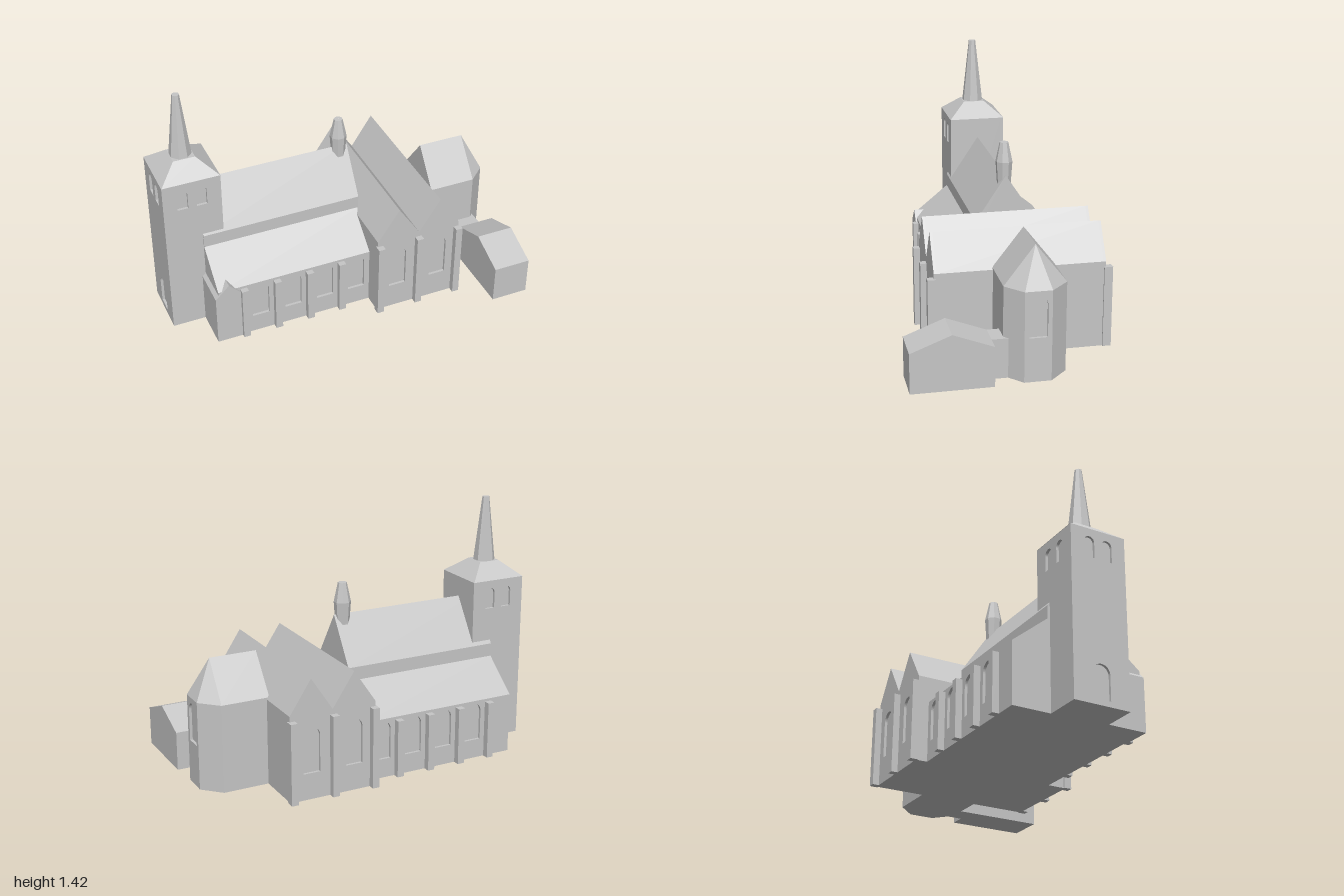
import * as THREE from 'three';

const R = 0.015; // depth of the window recesses

export function createModel() {
  const church = new THREE.Group();
  church.name = 'church';
  const stone = new THREE.MeshStandardMaterial({ color: 0xc6c6c6 });
  stone.name = 'stone grey';

  const add = (name, geometry, x = 0, y = 0, z = 0) => {
    const flat = geometry.index ? geometry.toNonIndexed() : geometry;
    flat.computeVertexNormals();
    const mesh = new THREE.Mesh(flat, stone);
    mesh.name = name;
    mesh.position.set(x, y, z);
    church.add(mesh);
    return mesh;
  };
  const shapeOf = (pts) => new THREE.Shape(pts.map(([x, y]) => new THREE.Vector2(x, y)));
  const box = (name, x0, x1, y0, y1, z0, z1) =>
    add(name, new THREE.BoxGeometry(x1 - x0, y1 - y0, z1 - z0), (x0 + x1) / 2, (y0 + y1) / 2, (z0 + z1) / 2);

  // Round-headed opening
  const arch = (c, w, y0, y1) => {
    const r = w / 2, p = new THREE.Path();
    p.moveTo(c - r, y0);
    p.lineTo(c + r, y0);
    p.lineTo(c + r, y1 - r);
    p.absarc(c, y1 - r, r, 0, Math.PI, false);
    p.closePath();
    return p;
  };
  const extrude = (pts, depth, holes) => {
    const s = shapeOf(pts);
    s.holes.push(...holes);
    return new THREE.ExtrudeGeometry(s, { depth, bevelEnabled: false, curveSegments: 10 });
  };
  // Profile in (x, y) extruded from z0 to z1
  const alongZ = (name, pts, z0, z1, holes = []) => add(name, extrude(pts, z1 - z0, holes), 0, 0, z0);
  // Profile in (-z, y) extruded from x0 to x1
  const alongX = (name, pts, x0, x1, holes = []) =>
    add(name, extrude(pts, x1 - x0, holes).rotateY(Math.PI / 2), x0, 0, 0);
  const rect = (a, b, y0, y1) => [[a, y0], [b, y0], [b, y1], [a, y1]];

  // Nave with lean-to aisles, one cross-section (mirrored about z = -0.1)
  const half = [[0.38 - R, 0], [0.38 - R, 0.345], [0.38, 0.345], [0.173, 0.515], [0.173, 0.59]];
  const section = [
    ...half.map(([u, y]) => [0.1 + u, y]), [0.1, 0.85],
    ...half.slice().reverse().map(([u, y]) => [0.1 - u, y]),
  ];
  alongX('nave', section, -0.79, 0.14);

  // Aisle walls with windows
  const aisleWindows = () => [-0.545, -0.35, -0.155, 0.038].map((x) => arch(x, 0.1, 0.11, 0.33));
  for (const [z0, z1] of [[0.28 - R, 0.28], [-0.48, -0.48 + R]]) {
    alongZ('aisleWall', rect(-0.79, 0.13, 0, 0.345), z0, z1, aisleWindows());
  }
  for (const x of [-0.643, -0.448, -0.253, -0.058]) {
    box('aisleButtress', x - 0.02, x + 0.02, 0, 0.33, 0.27, 0.312);
    box('aisleButtress', x - 0.02, x + 0.02, 0, 0.33, -0.518, -0.47);
  }

  // Gabled porch beside the tower
  alongZ('porch', [[-0.81, 0], [-0.66, 0], [-0.66, 0.315], [-0.73, 0.385], [-0.81, 0.305]], 0.06, 0.29);

  // Double-gabled transept
  const gables = [[0.12, 0], [0.625, 0], [0.625, 0.49], [0.5, 0.68], [0.375, 0.49], [0.248, 0.68], [0.12, 0.49]];
  alongZ('transept', gables, -0.545 + R, 0.39 - R);
  for (const [z0, z1] of [[0.39 - R, 0.39], [-0.545, -0.545 + R]]) {
    alongZ('transeptWall', gables, z0, z1, [0.248, 0.5].map((x) => arch(x, 0.1, 0.15, 0.41)));
  }
  for (const x of [0.132, 0.371, 0.615]) {
    box('transeptButtress', x - 0.02, x + 0.02, 0, 0.46, 0.38, 0.425);
    box('transeptButtress', x - 0.02, x + 0.02, 0, 0.46, -0.582, -0.535);
  }

  // Tower: core, walls with paired bell openings, west door
  box('towerCore', -1 + R, -0.67, 0, 0.965, -0.26 + R, 0.065 - R);
  for (const [z0, z1] of [[0.065 - R, 0.065], [-0.26, -0.26 + R]]) {
    alongZ('towerWall', rect(-1, -0.67, 0, 0.965), z0, z1, [-0.89, -0.782].map((x) => arch(x, 0.06, 0.8, 0.92)));
  }
  alongX('towerWestWall', rect(-0.065 + R, 0.26 - R, 0, 0.965), -1, -1 + R,
    [arch(0.045, 0.06, 0.8, 0.92), arch(0.15, 0.06, 0.8, 0.92), arch(0.098, 0.1, 0.03, 0.22)]);
  add('towerRoof', new THREE.CylinderGeometry(0.062 * Math.SQRT2, 0.164 * Math.SQRT2, 0.085, 4)
    .rotateY(Math.PI / 4), -0.835, 1.0075, -0.098);
  add('spire', new THREE.CylinderGeometry(0.02, 0.063, 0.375, 8).rotateY(Math.PI / 8), -0.837, 1.2325, -0.1);

  // Ridge turret over the crossing
  const turret = [[0.001, 0.7], [0.04, 0.7], [0.04, 0.8], [0.048, 0.92], [0.025, 1.03], [0.001, 1.03]];
  add('ridgeTurret', new THREE.LatheGeometry(turret.map(([r, y]) => new THREE.Vector2(r, y)), 8)
    .rotateY(Math.PI / 8), 0.088, 0, -0.1);

  // Choir with polygonal apse; plan drawn in (x, -z), slot filled by the end wall
  const plan = [[0.61, -0.075], [0.885, -0.075], [0.985, 0.015], [0.985 - R, 0.015],
    [0.985 - R, 0.16], [0.985, 0.16], [0.885, 0.26], [0.61, 0.26]];
  add('choir', extrude(plan, 0.5, []).rotateX(-Math.PI / 2));
  alongX('apseEndWall', rect(0.015, 0.16, 0, 0.5), 0.985 - R, 0.985, [arch(0.088, 0.098, 0.245, 0.47)]);

  // Choir roof: ridge ending in a hipped apex
  const eave = [0, 1, 2, 5, 6, 7].map((i) => [plan[i][0], 0.5, -plan[i][1]]);
  const r0 = [0.61, 0.715, -0.092], r1 = [0.88, 0.715, -0.092];
  const tris = [eave[0], eave[1], r1, eave[0], r1, r0, eave[4], eave[5], r0, eave[4], r0, r1];
  for (let i = 1; i < 4; i++) tris.push(eave[i], eave[i + 1], r1);
  for (let i = 1; i < 5; i++) tris.push(eave[0], eave[i + 1], eave[i]);
  tris.push(eave[0], r0, eave[5]);
  const roof = new THREE.BufferGeometry();
  roof.setAttribute('position', new THREE.Float32BufferAttribute(tris.flat(), 3));
  add('choirRoof', roof);

  // Small annex and its link to the choir
  alongX('annex', [[-0.58, 0], [-0.14, 0], [-0.14, 0.222], [-0.36, 0.307], [-0.58, 0.222]], 0.782, 1);
  box('annexLink', 0.782, 0.91, 0, 0.222, 0, 0.145);

  return church;
}
